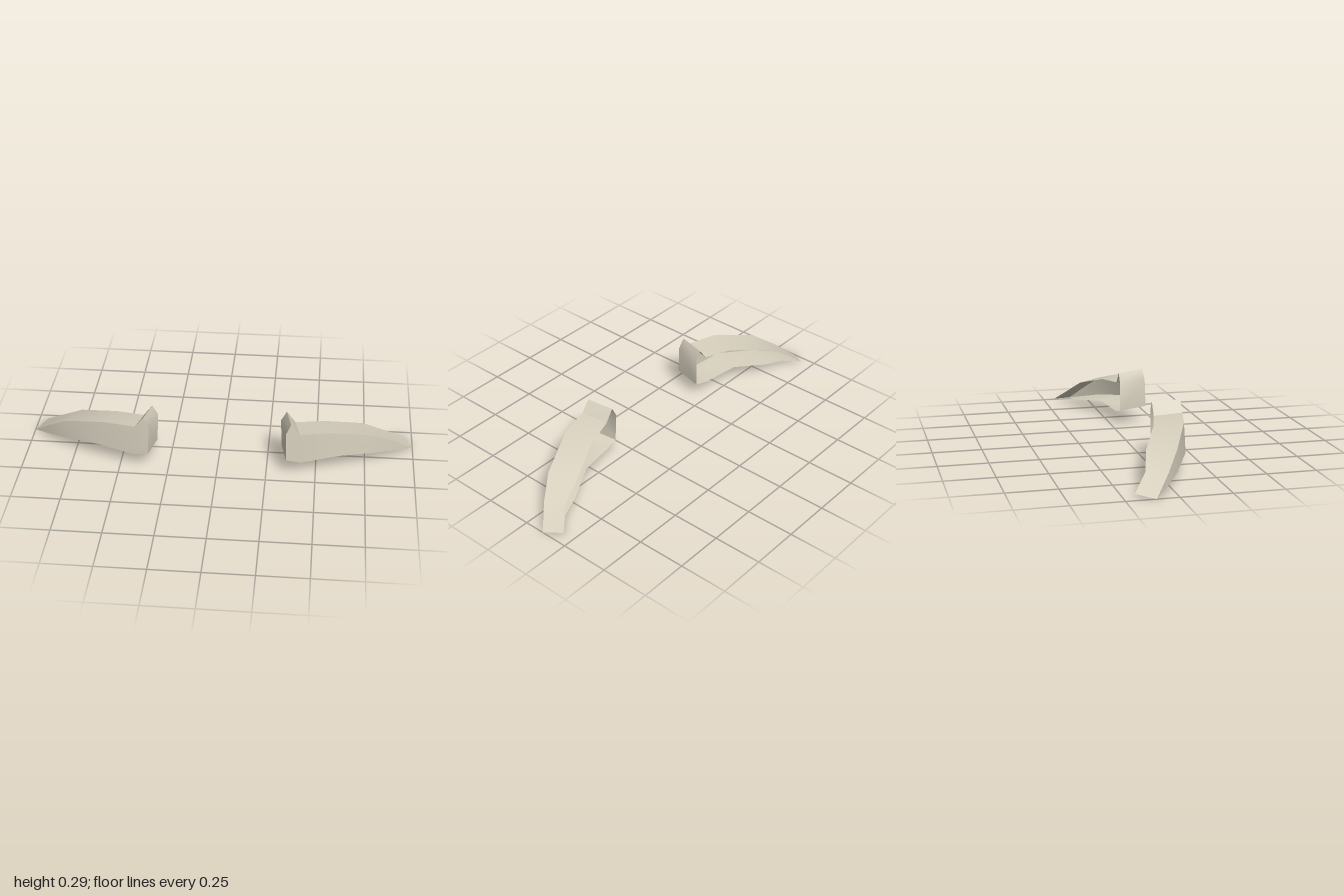
import * as THREE from 'three';
import { toCreasedNormals } from 'three/addons/utils/BufferGeometryUtils.js';

// Stations along the lower and upper edges, inner end to outer tip:
// [front x, y, z, back x, y, z]
const LOWER = [
  [0.35, 0.09, 0.197, 0.322, 0.078, 0.047],
  [0.425, 0.07, 0.182, 0.405, 0.057, 0.043],
  [0.617, 0.093, 0.138, 0.585, 0.077, 0.0],
  [0.81, 0.06, 0.043, 0.755, 0.046, -0.087],
  [0.912, 0.031, -0.03, 0.868, 0.032, -0.128],
  [1.0, 0.0, -0.107, 0.95, 0.015, -0.196],
];
const UPPER = [
  [0.345, 0.24, 0.19, 0.314, 0.23, 0.045],
  [0.415, 0.237, 0.18, 0.388, 0.222, 0.043],
  [0.578, 0.23, 0.14, 0.54, 0.21, 0.0],
  [0.8, 0.163, 0.043, 0.735, 0.152, -0.087],
  [0.906, 0.085, -0.028, 0.864, 0.085, -0.125],
  [1.0, 0.0, -0.107, 0.95, 0.015, -0.196],
];
// Small raised point near the inner end
const PEAK = [0.37, 0.293, 0.182, 0.343, 0.284, 0.045];

const front = (s) => s.slice(0, 3);
const back = (s) => s.slice(3);

// Triangles to a creased geometry; side = -1 mirrors and flips the winding
function toGeometry(triangles, side) {
  const positions = [];
  for (const t of triangles) {
    const corners = side < 0 ? [t[0], t[2], t[1]] : t;
    for (const [x, y, z] of corners) positions.push(x * side, y, z);
  }
  const geometry = new THREE.BufferGeometry();
  geometry.setAttribute('position', new THREE.Float32BufferAttribute(positions, 3));
  return toCreasedNormals(geometry, 0.6);
}

const quad = (a, b, c, d) => [[a, b, c], [a, c, d]];

// Curved face between the two edges
function faceTriangles() {
  const triangles = [[UPPER[0], UPPER[1], PEAK].map(front)];
  for (let i = 0; i < LOWER.length - 1; i++) {
    const corners = [LOWER[i], LOWER[i + 1], UPPER[i + 1], UPPER[i]].map(front);
    if (i === LOWER.length - 2) triangles.push([corners[0], corners[1], corners[3]]);
    else triangles.push(...quad(...corners));
  }
  return triangles;
}

// Rim running backwards from a chain of stations
function rimTriangles(chain) {
  const triangles = [];
  for (let i = 0; i < chain.length - 1; i++) {
    const a = chain[i], b = chain[i + 1];
    triangles.push(...quad(front(a), back(a), back(b), front(b)));
  }
  return triangles;
}

export function createModel() {
  const model = new THREE.Group();
  const shell = new THREE.MeshStandardMaterial({ color: 0xd6cfbd, side: THREE.DoubleSide });
  shell.name = 'warm ivory';

  // Each piece is an open-backed shell: face, lower rim, upper rim, inner end
  const parts = {
    frontFace: faceTriangles(),
    lowerRim: rimTriangles(LOWER),
    upperRim: rimTriangles([...UPPER.slice(1).reverse(), PEAK]),
    innerEnd: rimTriangles([PEAK, UPPER[0], LOWER[0]]),
  };

  for (const [name, side] of [['leftShell', 1], ['rightShell', -1]]) {
    const piece = new THREE.Group();
    piece.name = name;
    for (const [part, triangles] of Object.entries(parts)) {
      const mesh = new THREE.Mesh(toGeometry(triangles, side), shell);
      mesh.name = part;
      piece.add(mesh);
    }
    model.add(piece);
  }
  return model;
}
